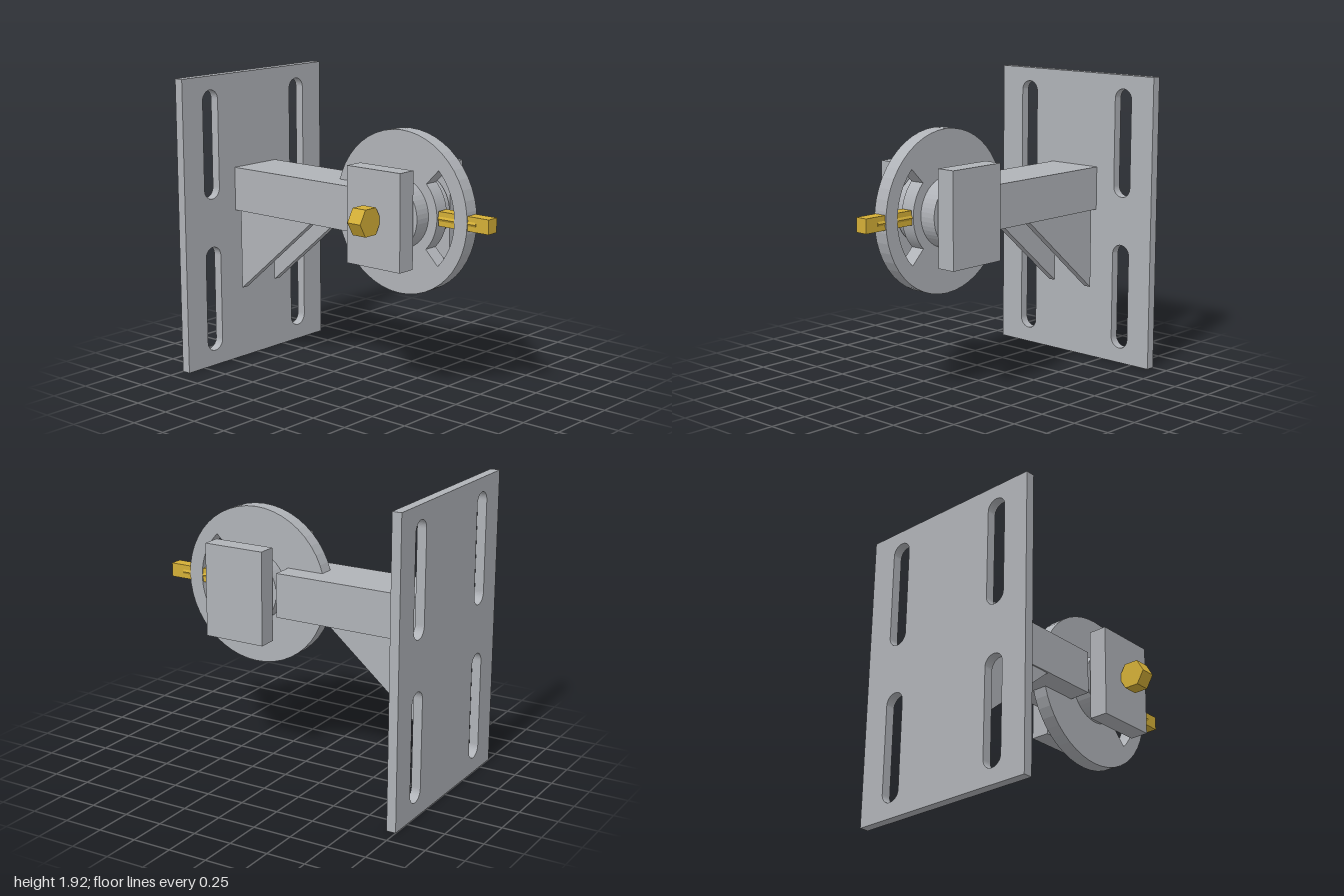
import * as THREE from 'three';

const steel = new THREE.MeshStandardMaterial({ color: 0xb0b3b8 });
steel.name = 'steel grey';
const brass = new THREE.MeshStandardMaterial({ color: 0xd4af37 });
brass.name = 'brass gold';

const AXIS_X = 0.34, AXIS_Y = 1.155;

export function createModel() {
  const model = new THREE.Group();
  model.name = 'bracketWithWheel';

  function add(name, geometry, material, x = 0, y = 0, z = 0) {
    const mesh = new THREE.Mesh(geometry, material);
    mesh.name = name;
    mesh.position.set(x, y, z);
    model.add(mesh);
    return mesh;
  }
  // Box given by its limits on each axis
  function addBox(name, material, [x0, x1], [y0, y1], [z0, z1]) {
    add(name, new THREE.BoxGeometry(x1 - x0, y1 - y0, z1 - z0), material,
      (x0 + x1) / 2, (y0 + y1) / 2, (z0 + z1) / 2);
  }
  // Extrusion centred on its own thickness
  function slab(shape, depth, curveSegments = 12) {
    return new THREE.ExtrudeGeometry(shape, { depth, bevelEnabled: false, curveSegments })
      .translate(0, 0, -depth / 2);
  }
  // Cylinder with faceted shading
  function faceted(radius, length, sides) {
    const g = new THREE.CylinderGeometry(radius, radius, length, sides).toNonIndexed();
    g.computeVertexNormals();
    return g;
  }

  // Wall plate with four rounded slots
  const plate = new THREE.Shape();
  plate.moveTo(-0.64, 0).lineTo(0.64, 0).lineTo(0.64, 1.92).lineTo(-0.64, 1.92).closePath();
  const slotR = 0.066;
  for (const c of [-0.4, 0.4]) {
    for (const [y0, y1] of [[0.1, 0.8], [1.12, 1.83]]) {
      const slot = new THREE.Path();
      slot.absarc(c, y1 - slotR, slotR, 0, Math.PI, false);
      slot.absarc(c, y0 + slotR, slotR, Math.PI, Math.PI * 2, false);
      slot.closePath();
      plate.holes.push(slot);
    }
  }
  add('wallPlate', slab(plate, 0.06).rotateY(Math.PI / 2), steel, -0.97);

  // Arm and the two triangular gussets below it
  addBox('arm', steel, [-0.94, 0.1], [1.015, 1.3], [-0.19, 0.19]);
  const gusset = new THREE.Shape();
  gusset.moveTo(-0.9, 0.49).lineTo(-0.28, 1.015).lineTo(-0.9, 1.015).closePath();
  for (const side of [-1, 1]) {
    add('gusset', slab(gusset, 0.05), steel, 0, 0, side * 0.155);
  }

  // Disc with a curved slot
  const disc = new THREE.Shape();
  disc.absarc(0, 0, 0.51, 0, Math.PI * 2, false);
  const arcSlot = new THREE.Path();
  arcSlot.absarc(0, 0, 0.415, -Math.PI / 4, Math.PI / 4, false);
  arcSlot.absarc(0, 0, 0.285, Math.PI / 4, -Math.PI / 4, true);
  arcSlot.closePath();
  disc.holes.push(arcSlot);
  add('disc', slab(disc, 0.098, 24), steel, AXIS_X, AXIS_Y, 0);

  // Hub through the disc and the side blocks
  add('hub', faceted(0.221, 0.32, 48).rotateX(Math.PI / 2), steel, AXIS_X, AXIS_Y, 0);
  for (const side of [-1, 1]) {
    add('sideBlock', new THREE.BoxGeometry(0.414, 0.605, 0.124), steel, AXIS_X, AXIS_Y, side * 0.242);
  }

  // Hexagonal head on the front block
  add('hexHead', faceted(0.096, 0.1, 6).rotateZ(Math.PI / 2), brass, AXIS_X, AXIS_Y, 0.385);

  // Clamping pin through the disc rim
  addBox('pin', brass, [0.63, 1], [1.11, 1.2], [-0.041, 0.041]);
  add('pinCollar', faceted(0.049, 0.28, 6).rotateZ(Math.PI / 2), brass, 0.77, AXIS_Y, 0);

  return model;
}
